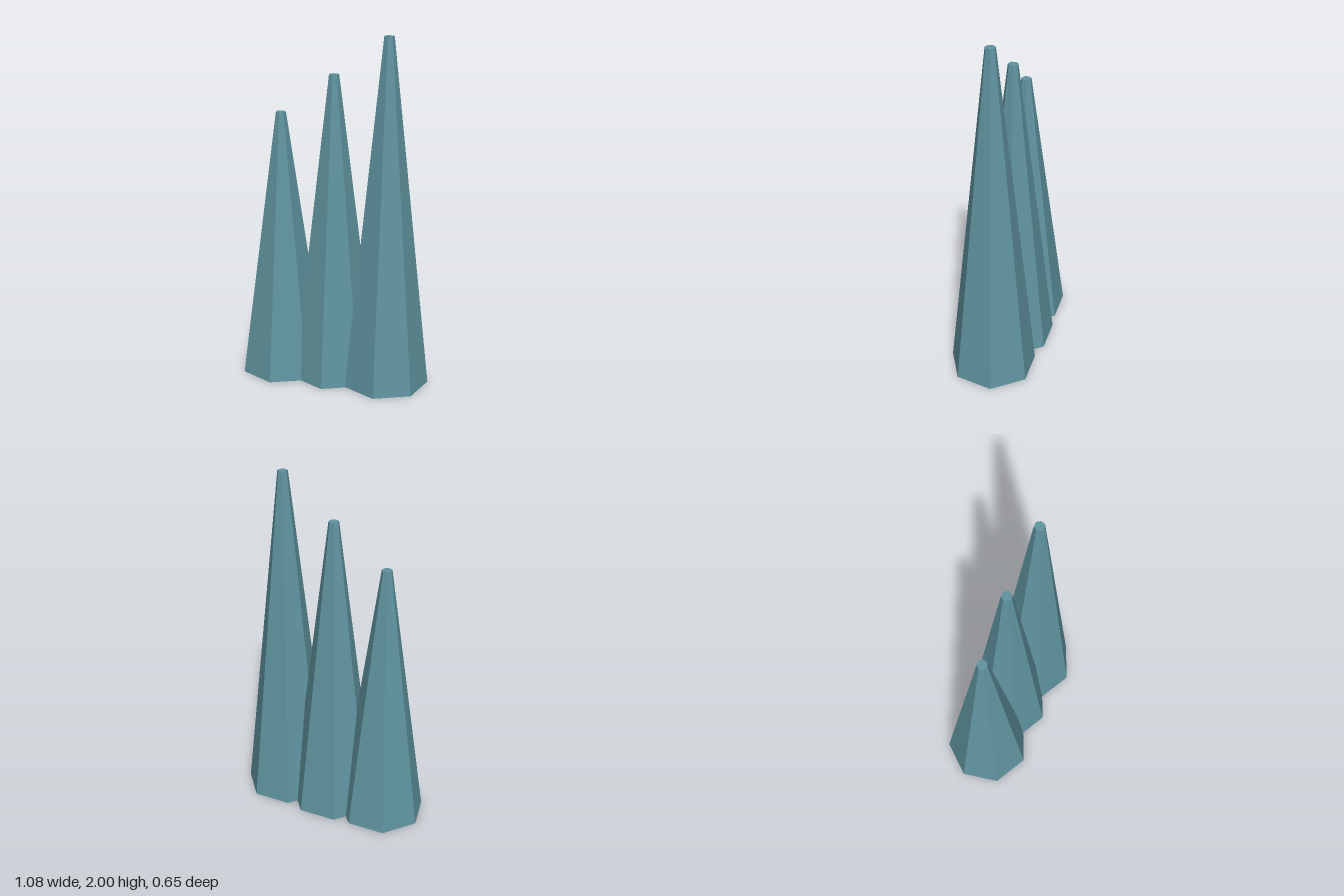
import * as THREE from 'three';

export function createModel() {
  const model = new THREE.Group();
  model.name = 'spireCluster';

  const slate = new THREE.MeshStandardMaterial({ color: 0x5f939f });
  slate.name = 'slate teal';

  // seven-sided tapering spires, rising from left to right along a diagonal
  const spires = [
    { name: 'shortSpire', x: -0.315, z: -0.08, height: 1.55 },
    { name: 'middleSpire', x: -0.012, z: -0.02, height: 1.775 },
    { name: 'tallSpire', x: 0.29, z: 0.078, height: 2 },
  ];

  for (const { name, x, z, height } of spires) {
    // toNonIndexed + face normals keep every facet flat
    const geometry = new THREE.CylinderGeometry(0.029, 0.25, height, 7).toNonIndexed();
    geometry.computeVertexNormals();
    geometry.rotateY(Math.PI / 2); // one corner points to +x
    const spire = new THREE.Mesh(geometry, slate);
    spire.name = name;
    spire.position.set(x, height / 2, z);
    model.add(spire);
  }

  return model;
}
